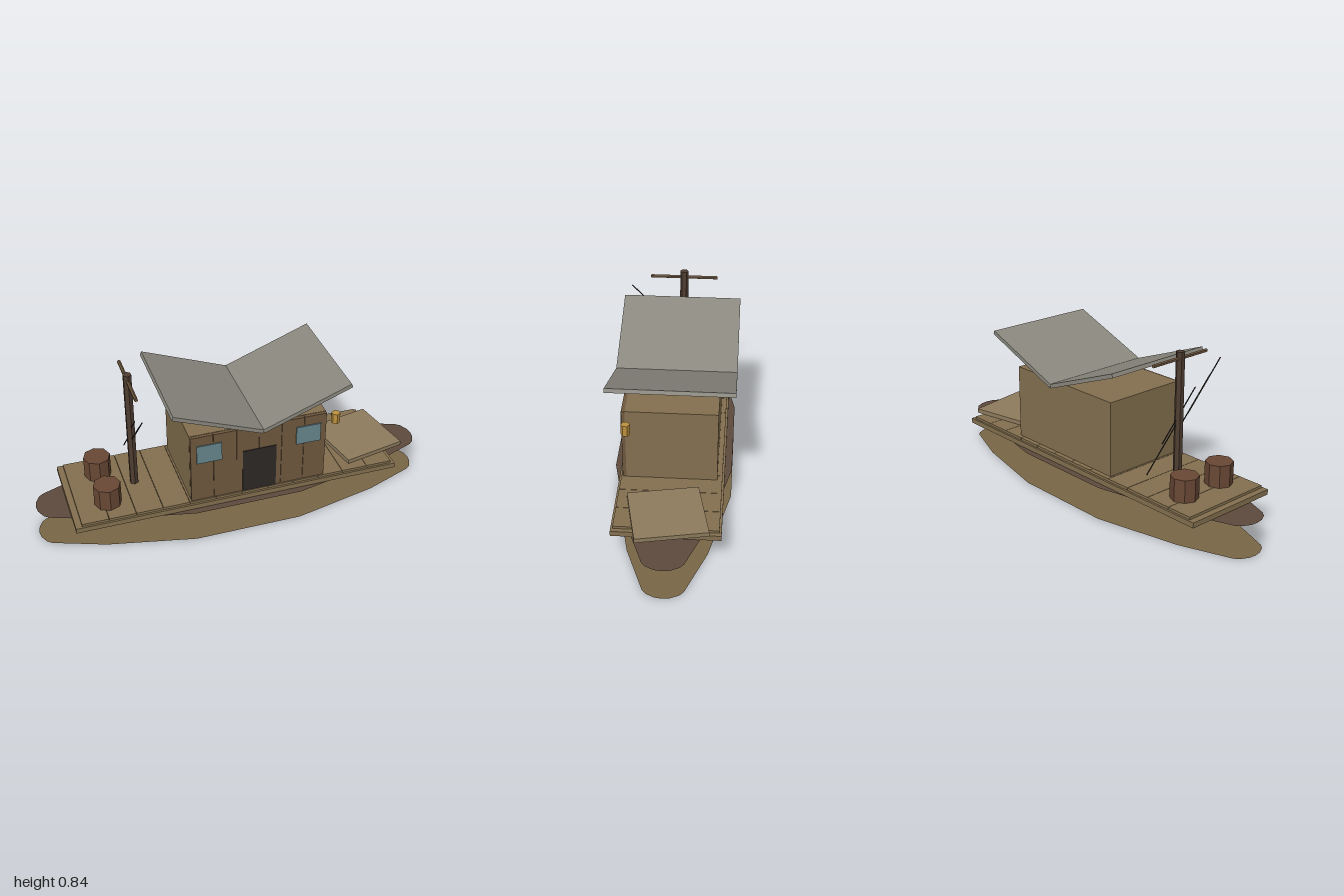
import * as THREE from 'three';

const mat = (color, extra = {}) => new THREE.MeshStandardMaterial({ color, flatShading: true, ...extra });

export function createModel() {
  const boat = new THREE.Group();
  boat.name = 'houseboat';
  const wood = mat(0x84704f), plank = mat(0x6f583f), darkWood = mat(0x4f3d31);
  const hullWood = mat(0x7a6647, { side: THREE.DoubleSide });
  const hullDark = mat(0x5c4a3c, { side: THREE.DoubleSide });
  const barrelWood = mat(0x694835), black = mat(0x2c2826), glass = mat(0x67868c);
  const roofGrey = mat(0x8a887e), rampWood = mat(0x8e7c5e), brass = mat(0xbd913f);

  const add = (name, geometry, material, x, y, z, parent = boat) => {
    const mesh = new THREE.Mesh(geometry, material);
    mesh.name = name;
    mesh.position.set(x, y, z);
    parent.add(mesh);
    return mesh;
  };
  // box given by its limits on each axis
  const box = (name, material, [x0, x1], [y0, y1], [z0, z1], parent) =>
    add(name, new THREE.BoxGeometry(x1 - x0, y1 - y0, z1 - z0), material,
      (x0 + x1) / 2, (y0 + y1) / 2, (z0 + z1) / 2, parent);
  const post = (name, material, r, h, sides, x, y, z) =>
    add(name, new THREE.CylinderGeometry(r, r, h, sides), material, x, y, z);

  // hull: two thin boat-shaped sheets, bottom and rim
  const half = [[1, 0], [0.995, 0.035], [0.975, 0.075], [0.952, 0.094], [0.7, 0.188], [0.27, 0.283]];
  const front = [...half, ...half.map(([x, z]) => [-x, z]).reverse()];
  const back = front.slice(1, -1).map(([x, z]) => [x, -z]).reverse();
  const outline = new THREE.Shape([...front, ...back].map(([x, z]) => new THREE.Vector2(x, z)));
  const sheet = new THREE.ShapeGeometry(outline).rotateX(-Math.PI / 2);
  add('hullBottom', sheet, hullWood, 0, 0, 0);
  add('hullRim', sheet, hullDark, 0, 0.163, 0);

  // deck with cross planks
  box('deckBase', wood, [-0.85, 0.79], [0.165, 0.191], [-0.25, 0.25]);
  const planks = new THREE.Group();
  planks.name = 'deckPlanks';
  boat.add(planks);
  const step = 1.59 / 12;
  for (let i = 0; i < 12; i++) {
    const x = -0.82 + i * step;
    box('deckPlank', wood, [x + 0.001, x + step - 0.001], [0.19, 0.204], [-0.24, 0.24], planks);
  }

  // cabin with boarded front
  box('cabin', wood, [-0.28, 0.405], [0.203, 0.577], [-0.216, 0.216]);
  const boards = new THREE.Group();
  boards.name = 'cabinBoards';
  boat.add(boards);
  const width = 0.685 / 6;
  for (let i = 0; i < 6; i++) {
    const x = -0.28 + i * width;
    box('cabinBoard', plank, [x + 0.001, x + width - 0.001], [0.203, 0.575], [0.215, 0.233], boards);
  }
  box('door', black, [-0.02, 0.15], [0.204, 0.445], [0.22, 0.237]);
  for (const x of [-0.25, 0.25]) box('window', glass, [x, x + 0.125], [0.425, 0.525], [0.22, 0.239]);

  // butterfly roof
  for (const s of [-1, 1]) {
    const slab = add('roofPanel', new THREE.BoxGeometry(0.467, 0.02, 0.585), roofGrey, 0.0625 + s * 0.219, 0.667, 0);
    slab.rotation.z = s * 0.367;
  }

  // mast, yard and slanting lines
  const mx = -0.508;
  post('mast', darkWood, 0.0215, 0.632, 6, mx, 0.519, 0);
  post('yard', plank, 0.009, 0.342, 6, mx, 0.802, 0).rotation.x = Math.PI / 2;
  for (const [z, y] of [[0.165, 0.632], [0.095, 0.56], [0, 0.525], [-0.095, 0.4]])
    post('riggingLine', black, 0.003, 0.31, 5, mx, y, z).rotation.x = 0.75;

  // deck cargo
  for (const z of [-0.115, 0.115]) post('barrel', barrelWood, 0.067, 0.112, 8, -0.665, 0.259, z);
  const ramp = add('looseHatch', new THREE.BoxGeometry(0.325, 0.022, 0.336), rampWood, 0.682, 0.215, 0);
  ramp.rotation.y = 0.2;

  // lantern beside the cabin
  post('lantern', brass, 0.0215, 0.055, 6, 0.463, 0.52, 0.207);
  return boat;
}
